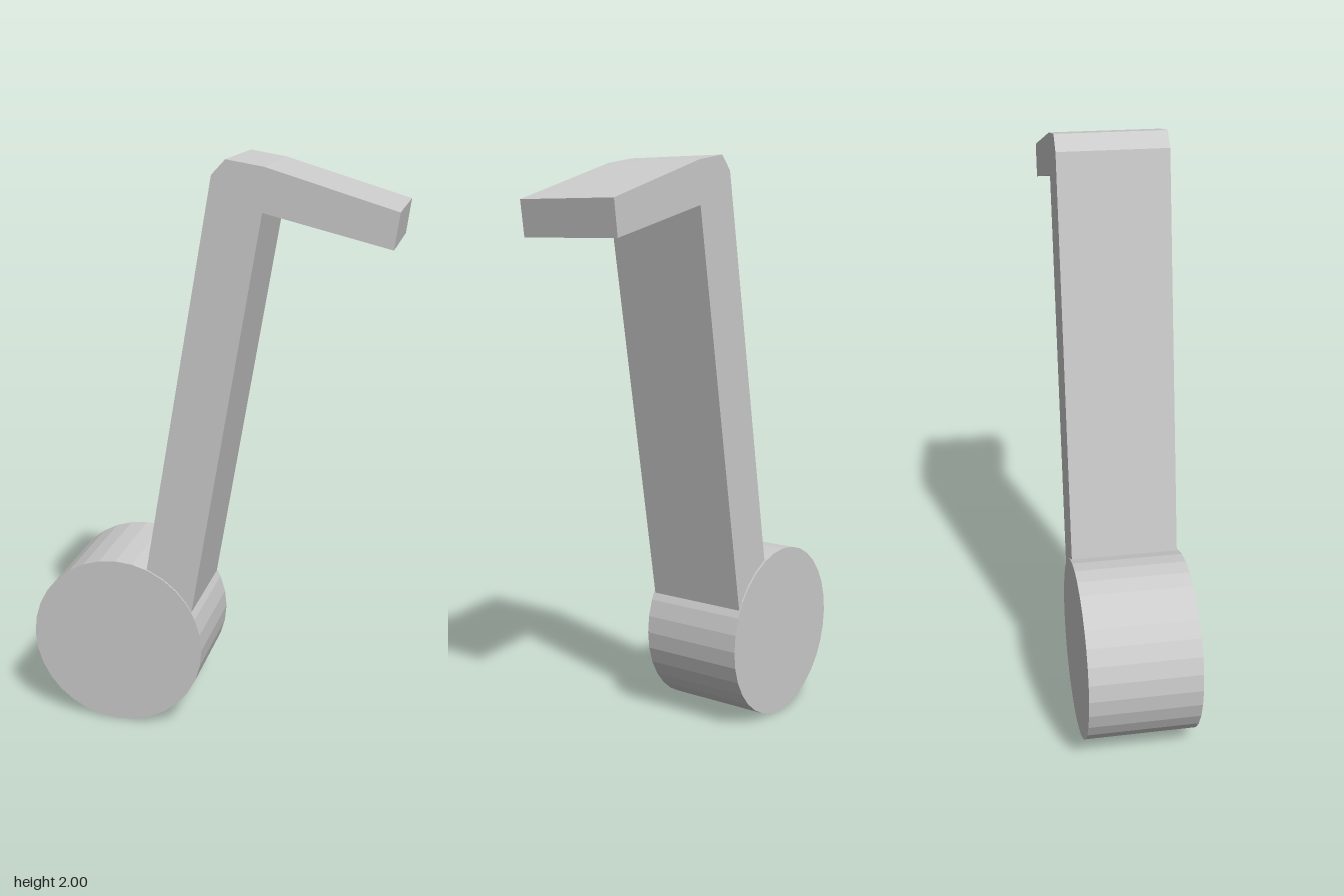
import * as THREE from 'three';

export function createModel() {
  const group = new THREE.Group();
  const material = new THREE.MeshStandardMaterial({ color: 0xcccccc, flatShading: true });

  // Round head: a drum lying along z
  const headGeometry = new THREE.CylinderGeometry(0.31, 0.31, 0.382, 32);
  headGeometry.rotateX(Math.PI / 2);
  const head = new THREE.Mesh(headGeometry, material);
  head.name = 'noteHead';
  head.position.set(-0.313, 0.31, 0);
  group.add(head);

  // Leaning stem and drooping flag in one bent bar; its foot is sunk into the head
  const outline = [
    [-0.222, 0.47], [-0.064, 0.31], [0.195, 1.84], [0.605, 1.74],
    [0.62, 1.855], [0.2, 1.98], [0.077, 2.0], [0.032, 1.952],
  ];
  const depth = 0.37;
  const shape = new THREE.Shape(outline.map(([x, y]) => new THREE.Vector2(x, y)));
  const barGeometry = new THREE.ExtrudeGeometry(shape, { depth, bevelEnabled: false });
  barGeometry.translate(0, 0, -depth / 2);
  const bar = new THREE.Mesh(barGeometry, material);
  bar.name = 'stemAndFlag';
  group.add(bar);

  return group;
}
